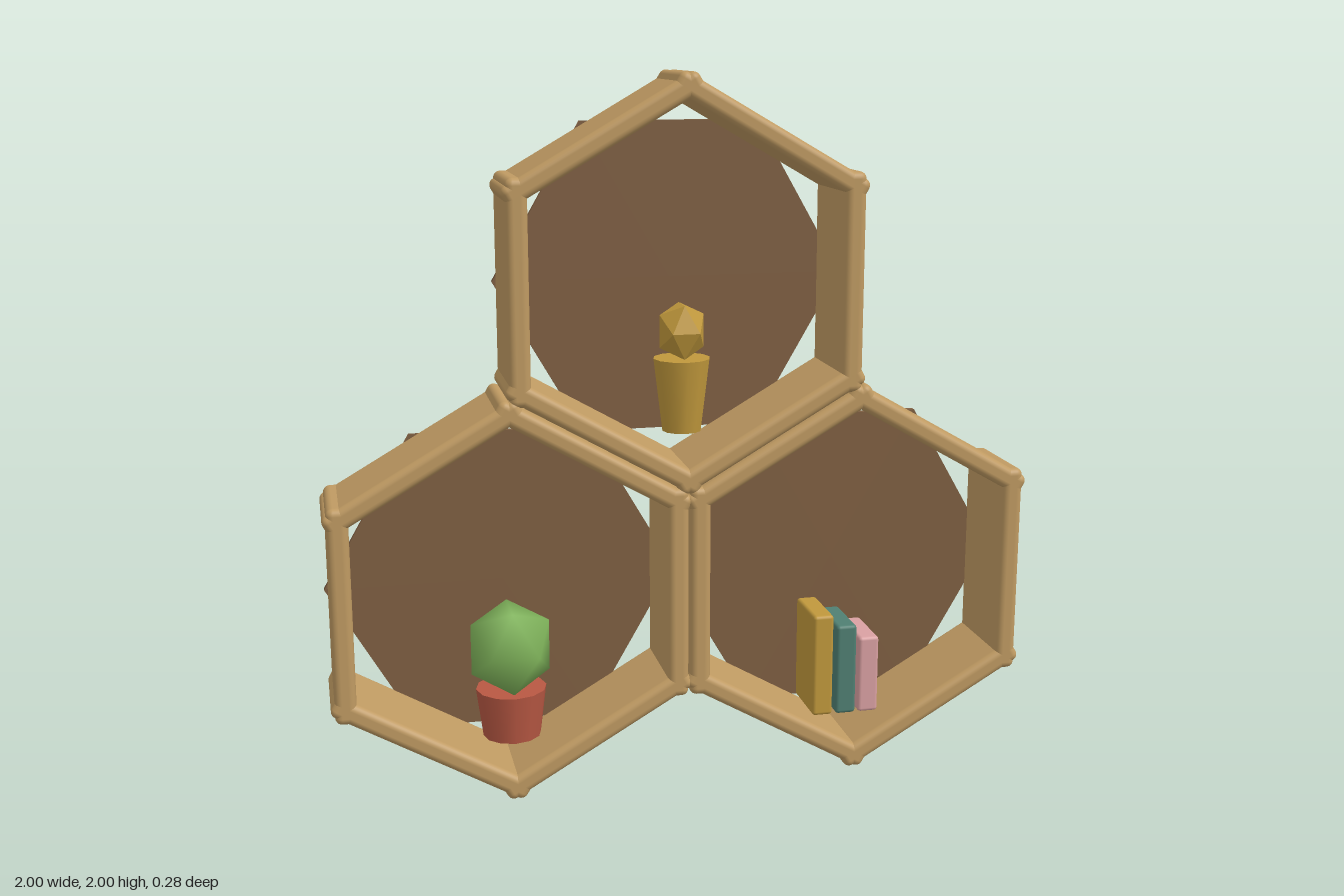
import * as THREE from 'three';
import { mergeVertices } from 'three/addons/utils/BufferGeometryUtils.js';
import { RoundedBoxGeometry } from 'three/addons/geometries/RoundedBoxGeometry.js';

function material(name, color, flatShading = false) {
  const m = new THREE.MeshStandardMaterial({ color, flatShading });
  m.name = name;
  return m;
}

function add(parent, name, geometry, mat, x = 0, y = 0, z = 0) {
  const mesh = new THREE.Mesh(geometry, mat);
  mesh.name = name;
  mesh.position.set(x, y, z);
  parent.add(mesh);
  return mesh;
}

export function createModel() {
  const model = new THREE.Group();
  model.name = 'honeycombShelf';

  const wood = material('lightWood', 0xbf9a62);
  const backing = material('darkWood', 0x7f5f42);
  const gold = material('gold', 0xc0983c);
  const terracotta = material('terracotta', 0xb85843);
  const leaf = material('leafGreen', 0x7fb35a);
  const teal = material('teal', 0x4f7f72);
  const pink = material('pink', 0xd9a0a2);

  // Hexagonal cells: six rounded boards and a turned hexagonal back each
  const panelGeo = new RoundedBoxGeometry(0.059, 0.61, 0.282, 3, 0.02);
  const backGeo = new THREE.CylinderGeometry(0.503, 0.503, 0.018, 6);
  backGeo.rotateY(Math.PI / 6).rotateX(Math.PI / 2);
  const cells = [['topCell', 0, 1.43], ['leftCell', 0.4945, 0.573], ['rightCell', -0.4945, 0.573]];
  for (const [name, x, y] of cells) {
    const cell = new THREE.Group();
    cell.name = name;
    cell.position.set(x, y, 0);
    for (let i = 0; i < 6; i++) {
      const a = i * Math.PI / 3;
      const panel = add(cell, 'framePanel', panelGeo, wood, 0.463 * Math.cos(a), 0.463 * Math.sin(a), 0);
      panel.rotation.z = a;
    }
    add(cell, 'backPanel', backGeo, backing, 0, 0, -0.1325);
    model.add(cell);
  }

  // Potted plant
  const plant = new THREE.Group();
  plant.name = 'pottedPlant';
  plant.position.set(-0.4945, 0.16, 0.03);
  add(plant, 'pot', new THREE.CylinderGeometry(0.1, 0.082, 0.14, 12), terracotta, 0, 0.07, 0);
  let bush = new THREE.IcosahedronGeometry(0.13, 0);
  bush.deleteAttribute('normal');
  bush.deleteAttribute('uv');
  bush = mergeVertices(bush);
  bush.computeVertexNormals();
  bush.rotateZ(Math.PI / 2).scale(1, 1.07, 1);
  add(plant, 'foliage', bush, leaf, 0, 0.258, 0);
  model.add(plant);

  // Gold ornament
  const ornament = new THREE.Group();
  ornament.name = 'ornament';
  ornament.position.set(0, 1.02, 0.03);
  add(ornament, 'vase', new THREE.CylinderGeometry(0.08, 0.055, 0.205, 12), gold, 0, 0.1025, 0);
  const knob = new THREE.IcosahedronGeometry(0.073, 0).rotateZ(Math.PI / 2).scale(1, 1.2, 1);
  add(ornament, 'knob', knob, gold, 0, 0.28, 0);
  model.add(ornament);

  // Row of books
  const books = [[0.404, 0.305, gold], [0.4745, 0.27, teal], [0.5425, 0.23, pink]];
  for (const [x, h, mat] of books) {
    add(model, 'book', new RoundedBoxGeometry(0.06, h, 0.18, 2, 0.01), mat, x, 0.16 + h / 2, 0.02);
  }

  return model;
}
